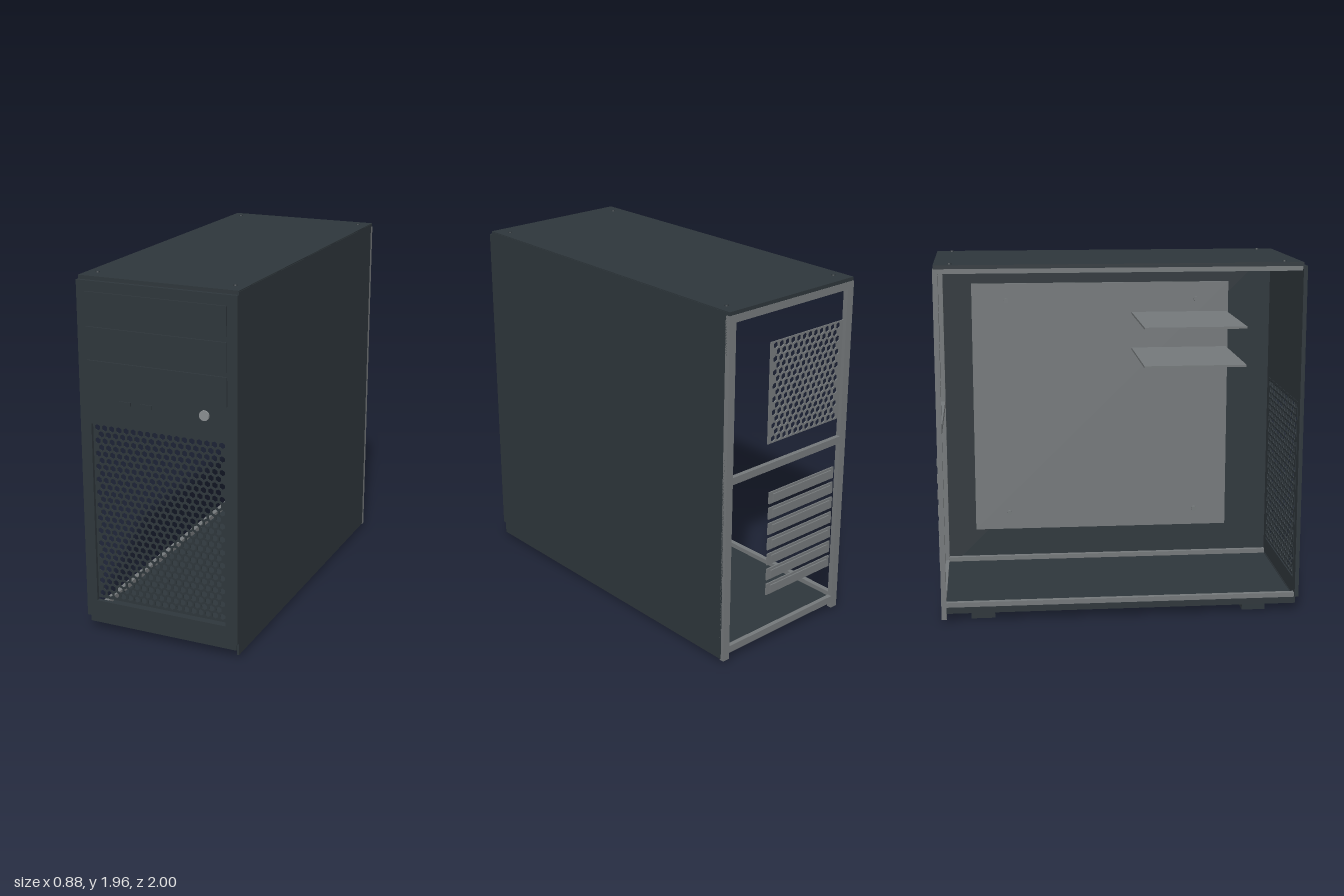
import * as THREE from 'three';

const mat = (name, color) => {
  const m = new THREE.MeshStandardMaterial({ color });
  m.name = name;
  return m;
};

// Rectangular path, used for outlines and openings
function rect(path, x0, x1, y0, y1) {
  path.moveTo(x0, y0);
  path.lineTo(x1, y0);
  path.lineTo(x1, y1);
  path.lineTo(x0, y1);
  path.closePath();
  return path;
}

// Upright plate perforated with staggered hexagonal holes
function hexPlate(x0, x1, y0, y1, depth) {
  const shape = rect(new THREE.Shape(), x0, x1, y0, y1);
  const px = 0.0415, py = 0.036, r = 0.0175;
  const rows = Math.floor((y1 - y0 - 0.004) / py);
  const cols = Math.floor((x1 - x0 - 0.004) / px);
  const startX = (x0 + x1 - (cols - 1) * px) / 2;
  const startY = (y0 + y1 - (rows - 1) * py) / 2;
  for (let j = 0; j < rows; j++) {
    const odd = j % 2;
    for (let i = 0; i < cols - odd; i++) {
      const cx = startX + (i + odd / 2) * px, cy = startY + j * py;
      const hole = new THREE.Path();
      for (let k = 0; k < 6; k++) {
        const a = Math.PI / 6 - k * Math.PI / 3;
        const x = cx + r * Math.cos(a), y = cy + r * Math.sin(a);
        k ? hole.lineTo(x, y) : hole.moveTo(x, y);
      }
      hole.closePath();
      shape.holes.push(hole);
    }
  }
  return new THREE.ExtrudeGeometry(shape, { depth, bevelEnabled: false });
}

export function createModel() {
  const model = new THREE.Group();
  model.name = 'computerCase';
  const dark = mat('darkPaint', 0x2e363b);
  const steel = mat('bareSteel', 0x74787a);
  const silver = mat('buttonSilver', 0x8a8e90);

  const add = (name, geometry, material, x = 0, y = 0, z = 0) => {
    const m = new THREE.Mesh(geometry, material);
    m.name = name;
    m.position.set(x, y, z);
    model.add(m);
    return m;
  };
  // Box given by its limits on each axis
  const box = (name, material, x0, x1, y0, y1, z0, z1) =>
    add(name, new THREE.BoxGeometry(x1 - x0, y1 - y0, z1 - z0), material,
      (x0 + x1) / 2, (y0 + y1) / 2, (z0 + z1) / 2);

  // Outer panels; the side at -x stays open
  box('topPanel', dark, -0.44, 0.44, 1.93, 1.95, -0.99, 0.97);
  box('sidePanel', dark, 0.43, 0.442, 0.02, 1.945, -0.975, 0.97);
  box('floorPanel', dark, -0.43, 0.43, 0.045, 0.08, -0.975, 0.97);

  // Front bezel with the grille window
  const bezel = rect(new THREE.Shape(), -0.442, 0.442, 0.085, 1.93);
  bezel.holes.push(rect(new THREE.Path(), -0.38, 0.375, 0.18, 1.18));
  add('frontBezel', new THREE.ExtrudeGeometry(bezel, { depth: 0.022, bevelEnabled: false }), dark, 0, 0, 0.968);
  add('frontGrille', hexPlate(-0.385, 0.38, 0.193, 1.185, 0.006), dark, 0, 0, 0.966);
  box('bezelFoot', dark, -0.43, 0.43, 0.045, 0.085, 0.965, 0.975);

  // Drive bay covers, ports and power button
  for (const y of [1.445, 1.62, 1.8])
    box('driveBayCover', dark, -0.39, 0.388, y - 0.076, y + 0.076, 0.985, 1);
  for (const x of [-0.18, -0.06])
    box('frontPort', dark, x - 0.033, x + 0.033, 1.3, 1.322, 0.985, 0.996);
  add('powerButton', new THREE.CylinderGeometry(0.027, 0.027, 0.014, 24), silver, 0.265, 1.31, 0.993)
    .rotation.x = Math.PI / 2;

  // Back frame
  for (const s of [-1, 1])
    box('backPost', steel, s * 0.42 - 0.022, s * 0.42 + 0.022, 0.015, 1.93, -0.993, -0.965);
  for (const y of [0.07, 1.05, 1.91])
    box('backCrossbar', steel, -0.4, 0.4, y - 0.02, y + 0.02, -0.992, -0.967);

  // Long rails inside the top and bottom edges
  for (const s of [-1, 1])
    for (const y of [0.093, 1.917])
      box('sideRail', steel, s * 0.415 - 0.014, s * 0.415 + 0.014, y - 0.013, y + 0.013, -0.967, 0.967);

  // Rear fan vent
  add('rearVent', hexPlate(-0.38, 0.15, 1.18, 1.73, 0.006), steel, 0, 0, -0.988);

  // Expansion slot covers, each with a raised rib and a fixing tab
  for (let i = 0; i < 7; i++) {
    const y = 0.33 + i * 0.09;
    box('slotCover', steel, -0.36, 0.13, y - 0.033, y + 0.033, -0.992, -0.984);
    box('slotRib', steel, -0.335, 0.105, y - 0.021, y + 0.021, -1, -0.99);
  }

  // Mainboard tray with standoffs
  box('mainboardTray', steel, 0.325, 0.337, 0.3, 1.77, -0.8, 0.7);
  for (const y of [0.4, 1.67])
    for (const z of [-0.6, 0.51])
      add('trayStandoff', new THREE.CylinderGeometry(0.015, 0.015, 0.02, 12), steel, 0.316, y, z)
        .rotation.z = Math.PI / 2;

  // Drive shelves behind the front bays
  for (const y of [1.38, 1.59])
    box('driveShelf', steel, -0.34, 0.325, y - 0.006, y + 0.006, 0.13, 0.69);

  // Top screws and feet
  for (const s of [-1, 1]) {
    for (const z of [0.875, -0.905])
      add('topScrew', new THREE.CylinderGeometry(0.01, 0.012, 0.008, 16), dark, s * 0.38, 1.953, z);
    for (const z of [0.745, -0.765])
      box('foot', dark, s * 0.335 - 0.055, s * 0.335 + 0.055, 0, 0.046, z - 0.065, z + 0.065);
  }
  return model;
}
